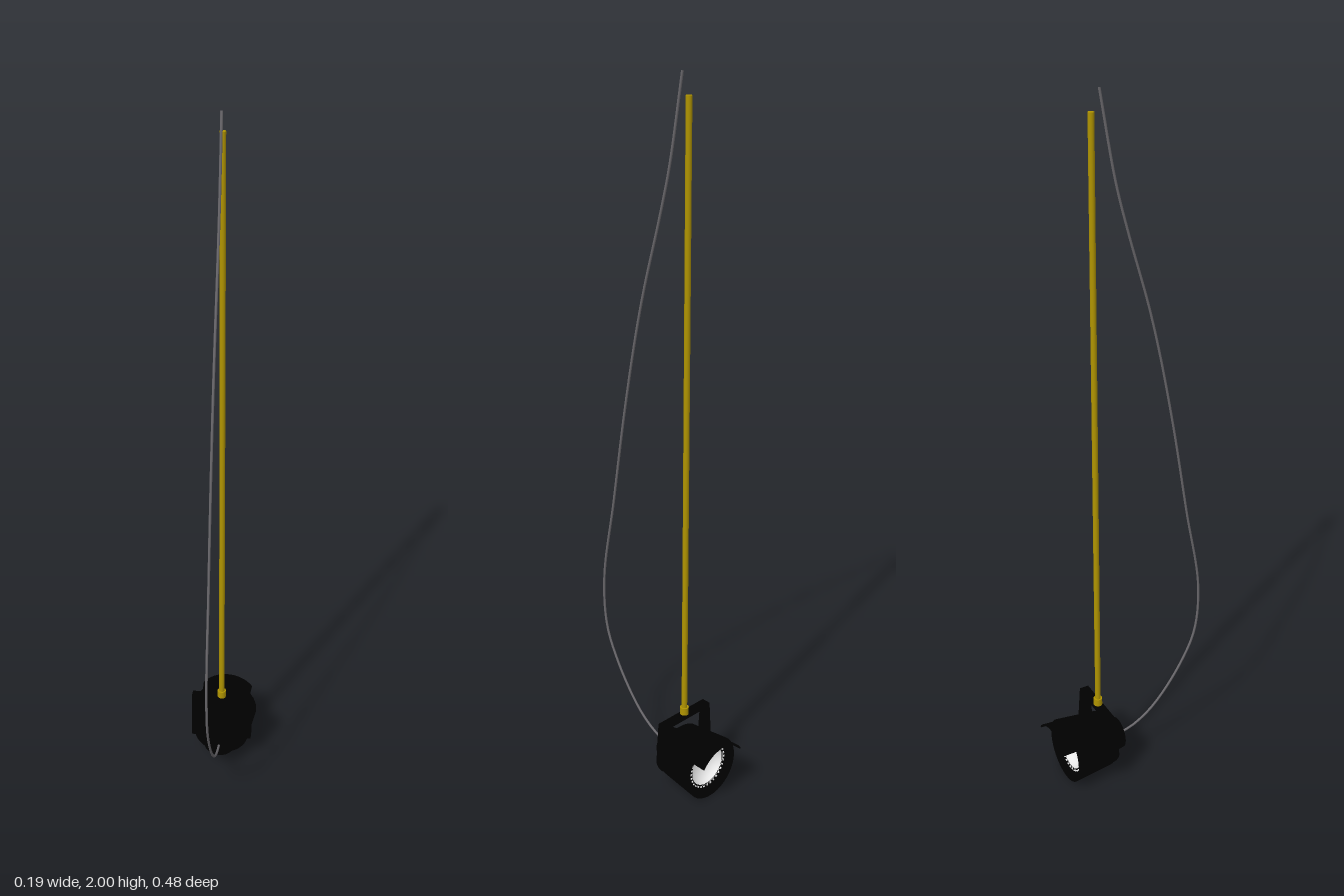
import * as THREE from 'three';

const mat = (name, color, side = THREE.FrontSide) => {
  const m = new THREE.MeshStandardMaterial({ color, side });
  m.name = name;
  return m;
};
const V2 = (a) => a.map(([x, y]) => new THREE.Vector2(x, y));
const AXIS_Y = 0.094;
const POLE_Z = -0.092;

// Lathe given as straight pieces (each [[radius, distance], ...]) so edges stay sharp;
// the axis points to -z, angle 0 is up.
function turned(group, name, pieces, material, start = 0, sweep = Math.PI * 2, segs = 40) {
  const part = new THREE.Group();
  part.name = name;
  for (const p of pieces) {
    const geo = new THREE.LatheGeometry(V2(p), segs, start, sweep);
    geo.rotateX(-Math.PI / 2);
    const mesh = new THREE.Mesh(geo, material);
    mesh.name = name;
    part.add(mesh);
  }
  part.position.y = AXIS_Y;
  group.add(part);
}

// Consecutive point pairs of a profile
const edges = (pts) => pts.slice(1).map((p, i) => [pts[i], p]);

export function createModel() {
  const black = mat('black metal', 0x000000, THREE.DoubleSide);
  const brass = mat('brass', 0xb09400);
  const grey = mat('cable grey', 0x6a686c);
  const white = mat('lens white', 0xffffff, THREE.DoubleSide);

  const model = new THREE.Group();
  model.name = 'spotlight';

  const add = (name, geo, material, x = 0, y = 0, z = 0) => {
    const mesh = new THREE.Mesh(geo, material);
    mesh.name = name;
    mesh.position.set(x, y, z);
    model.add(mesh);
    return mesh;
  };

  // Lamp housing: rear cap, shoulder, flared shell and recessed inner lip
  turned(model, 'lampHousing', edges([
    [0, 0.025], [0.045, 0.025], [0.053, 0.067], [0.069, 0.067], [0.081, 0.08],
    [0.094, 0.2], [0.086, 0.2], [0.083, 0.186], [0.06, 0.184],
  ]), black);

  // Reflector bowl
  const bowl = [];
  for (let i = 0; i <= 8; i++) {
    const t = (i / 8) * Math.PI / 2;
    bowl.push([0.062 * Math.sin(t), 0.185 - 0.04 * Math.cos(t)]);
  }
  turned(model, 'lens', [bowl], white);

  // Ring of small bright studs around the lens
  const studs = 32;
  const studGeo = new THREE.BoxGeometry(0.005, 0.004, 0.003);
  for (let i = 0; i < studs; i++) {
    const t = (i / studs) * Math.PI * 2;
    add('lensStud', studGeo, white, 0.066 * Math.sin(t), AXIS_Y + 0.066 * Math.cos(t), -0.1855)
      .rotation.z = -t;
  }

  // Hood over the mouth
  const a = 0.97;
  turned(model, 'hood', edges([
    [0.0885, 0.19], [0.092, 0.242], [0.0875, 0.242], [0.084, 0.186],
  ]), black, -a, 2 * a, 20);

  // Yoke: crossbar and two tapered arms with rounded pivot ends
  add('yokeBar', new THREE.BoxGeometry(0.176, 0.011, 0.027), black, 0, 0.2185, POLE_Z);
  const arm = new THREE.Shape();
  arm.moveTo(0.0135, 0.13);
  arm.lineTo(-0.0135, 0.13);
  arm.lineTo(-0.022, 0);
  arm.absarc(0, 0, 0.022, Math.PI, Math.PI * 2, false);
  arm.closePath();
  const armGeo = new THREE.ExtrudeGeometry(arm, { depth: 0.011, bevelEnabled: false, curveSegments: 12 });
  armGeo.translate(0, 0, -0.0055).rotateY(-Math.PI / 2);
  for (const s of [-1, 1]) {
    add('yokeArm', armGeo, black, s * 0.0835, AXIS_Y, POLE_Z);
  }

  // Brass pole with a collar at its foot
  add('pole', new THREE.CylinderGeometry(0.008, 0.008, 1.721, 16), brass, 0, 1.0845, POLE_Z);
  add('poleCollar', new THREE.CylinderGeometry(0.0125, 0.0125, 0.022, 20), brass, 0, 0.235, POLE_Z);

  // Hanging cable, as [z, y]
  const path = [
    [-0.024, 0.088], [0.02, 0.1], [0.07, 0.13], [0.12, 0.18], [0.185, 0.275], [0.228, 0.375],
    [0.237, 0.53], [0.192, 0.79], [0.145, 1.065], [0.1, 1.29], [0.065, 1.435],
    [0.007, 1.635], [-0.028, 1.77], [-0.07, 2],
  ].map(([z, y]) => new THREE.Vector3(0, y, z));
  add('cable', new THREE.TubeGeometry(new THREE.CatmullRomCurve3(path), 80, 0.0035, 8), grey);

  return model;
}
